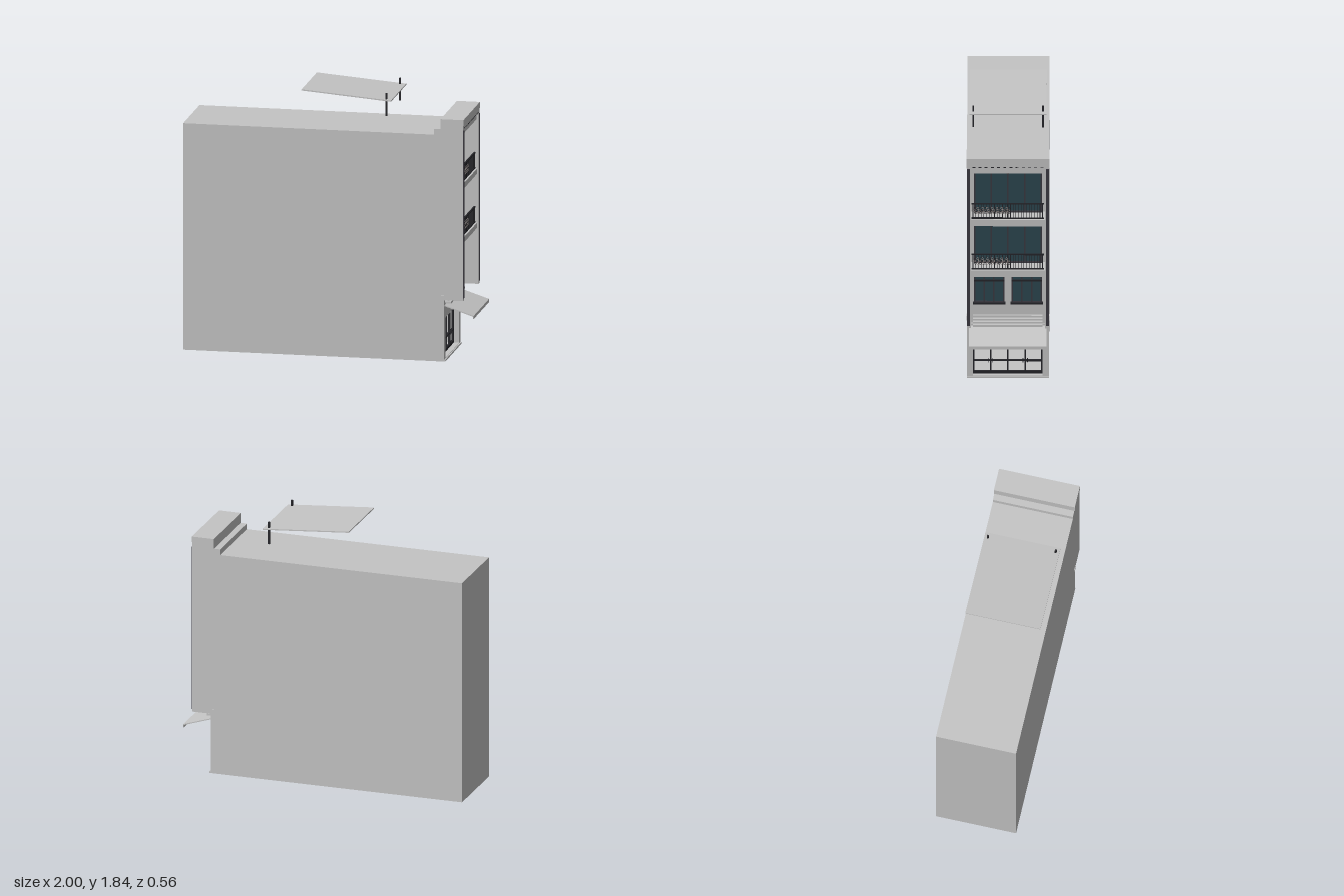
import * as THREE from 'three';

export function createModel() {
  const root = new THREE.Group();
  root.name = 'townhouse';
  const mat = (name, color) => {
    const m = new THREE.MeshStandardMaterial({ color });
    m.name = name;
    return m;
  };
  const wall = mat('plaster grey', 0xc4c4c4);
  const dark = mat('dark metal', 0x242428);
  const strip = mat('charcoal cladding', 0x3a3840);
  const glass = mat('teal glass', 0x2b464f);
  const bloom = mat('pale ornament', 0xa89c98);

  const add = (name, geo, material, parent = root) => {
    const mesh = new THREE.Mesh(geo, material);
    mesh.name = name;
    parent.add(mesh);
    return mesh;
  };
  // Box given by its minimum and maximum on each axis
  const box = (name, material, x0, x1, y0, y1, z0, z1, parent = root) => {
    const m = add(name, new THREE.BoxGeometry(x1 - x0, y1 - y0, z1 - z0), material, parent);
    m.position.set((x0 + x1) / 2, (y0 + y1) / 2, (z0 + z1) / 2);
    return m;
  };
  // Solid cut from an x-y outline, running from z0 to z1
  const slabXY = (name, material, pts, z0, z1) => {
    const shape = new THREE.Shape(pts.map(p => new THREE.Vector2(p[0], p[1])));
    const geo = new THREE.ExtrudeGeometry(shape, { depth: z1 - z0, bevelEnabled: false });
    return add(name, geo.translate(0, 0, z0), material);
  };

  // Party walls, overhanging the street above the ground floor
  const outline = [[-1, 0], [0.8, 0], [0.8, 0.425], [0.93, 0.425], [0.93, 1.61],
    [0.73, 1.61], [0.73, 1.57], [-1, 1.57]];
  slabXY('leftWall', wall, outline, -0.277, -0.25);
  slabXY('rightWall', wall, outline, 0.25, 0.277);

  // Main volume between the party walls, with an open shop room at street level
  const back = 0.785;
  box('upperFloors', wall, -1, back, 0.4, 1.57, -0.25, 0.25);
  box('groundFloorRear', wall, -1, 0.35, 0, 0.4, -0.25, 0.25);
  box('shopFloor', wall, 0.35, 0.8, 0, 0.015, -0.25, 0.25);
  box('shopLintel', wall, 0.35, 0.8, 0.295, 0.4, -0.25, 0.25);
  box('doorStep', wall, 0.8, 0.808, 0, 0.012, -0.277, 0.277);
  for (const s of [-1, 1]) {
    const z = s * 0.2425;
    box('doorJamb', wall, 0.35, 0.8, 0.015, 0.295, z - 0.0075, z + 0.0075);
    const e = s * 0.267;
    box('edgeCladding', strip, 0.93, 0.935, 0.445, 1.605, e - 0.01, e + 0.01);
    box('wallLedge', wall, 0.77, 0.805, 0.425, 0.46, s * 0.2665 - 0.0145, s * 0.2665 + 0.0145);
  }

  // Roof parapet and overhanging ceiling
  box('topCeiling', wall, 0.73, 0.915, 1.565, 1.61, -0.25, 0.25);
  box('parapet', wall, 0.775, 0.93, 1.61, 1.68, -0.28, 0.28);
  box('parapetBand', wall, 0.93, 0.933, 1.64, 1.68, -0.28, 0.28);
  for (let i = 0; i < 12; i++) {
    const z = -0.23 + i * 0.0418;
    box('ventSlot', dark, 0.93, 0.933, 1.614, 1.619, z - 0.01, z + 0.01);
  }

  // Stepped mouldings above the shop
  for (let i = 0; i < 4; i++) {
    box('shopMoulding', wall, back - 0.01, 0.84 - i * 0.012, 0.395 + i * 0.018, 0.407 + i * 0.018, -0.235, 0.235);
  }

  // Window: glass pane, outer frame, mullions and an optional transom
  const windowUnit = (name, y0, y1, z0, z1, panes, transom) => {
    const g = new THREE.Group();
    g.name = name;
    root.add(g);
    const x = back;
    const t = 0.005;
    box('pane', glass, x, x + 0.004, y0, y1, z0, z1, g);
    for (let i = 0; i <= panes; i++) {
      const z = THREE.MathUtils.lerp(z0 + t, z1 - t, i / panes);
      box('mullion', strip, x, x + 0.014, y0, y1, z - t, z + t, g);
    }
    for (const y of [y0 + t, y1 - t]) box('frameRail', strip, x, x + 0.014, y - t, y + t, z0, z1, g);
    if (transom) box('transom', dark, x, x + 0.016, transom - 0.005, transom + 0.005, z0, z1, g);
  };
  windowUnit('topFloorDoors', 1.225, 1.535, -0.23, 0.23, 4);
  windowUnit('thirdFloorDoors', 0.85, 1.158, -0.23, 0.23, 4);
  for (const s of [-1, 1]) {
    const c = s * 0.127;
    windowUnit('secondFloorWindow', 0.555, 0.765, c - 0.103, c + 0.103, 3, 0.718);
    box('windowSill', dark, back, 0.81, 0.548, 0.558, c - 0.11, c + 0.11);
  }
  box('windowCanopy', wall, back, 0.86, 0.775, 0.795, -0.245, 0.245);

  // Balconies with slab, bar railing, scroll ornament and ceiling lamp
  const ring = new THREE.TorusGeometry(0.008, 0.0018, 4, 8).rotateY(Math.PI / 2);
  const balcony = (floor) => {
    const g = new THREE.Group();
    g.name = 'balcony';
    root.add(g);
    box('slab', wall, back, 0.92, floor - 0.035, floor, -0.25, 0.25, g);
    box('slabTrim', wall, back, 0.905, floor - 0.055, floor - 0.035, -0.25, 0.25, g);
    const x = 0.905;
    box('topRail', dark, x - 0.006, x + 0.006, floor + 0.108, floor + 0.116, -0.245, 0.245, g);
    box('bottomRail', dark, x - 0.004, x + 0.004, floor + 0.002, floor + 0.01, -0.245, 0.245, g);
    for (let i = 0; i <= 26; i++) {
      const z = -0.235 + (i * 0.47) / 26;
      const t = i % 13 ? 0.002 : 0.004;
      box('bar', dark, x - t, x + t, floor + 0.008, floor + 0.11, z - t, z + t, g);
    }
    for (let row = 0; row < 3; row++) {
      for (let i = 0; i < 15; i++) {
        const m = add('scroll', ring, (i + row) % 2 ? bloom : dark, g);
        m.position.set(x + 0.004, floor + 0.048 + row * 0.016, -0.008 + i * 0.0162 + (row % 2) * 0.006);
      }
    }
    const lamp = add('ceilingLamp', new THREE.CylinderGeometry(0.01, 0.01, 0.006, 16), dark, g);
    lamp.position.set(0.85, floor + 0.315, 0);
  };
  balcony(0.85);
  balcony(1.225);

  // Glazed shop doors
  const doors = new THREE.Group();
  doors.name = 'shopDoors';
  root.add(doors);
  const dx = 0.755;
  for (const z of [-0.23, -0.117, 0, 0.117, 0.23]) {
    box('doorStile', dark, dx - 0.008, dx + 0.008, 0.015, 0.295, z - 0.005, z + 0.005, doors);
  }
  for (const [y, h] of [[0.024, 0.009], [0.11, 0.005], [0.291, 0.004]]) {
    box('doorRail', dark, dx - 0.008, dx + 0.008, y - h, y + h, -0.235, 0.235, doors);
  }
  for (const z of [-0.132, -0.102, 0.102, 0.132]) {
    box('doorHandle', dark, dx + 0.01, dx + 0.016, 0.1, 0.13, z - 0.002, z + 0.002, doors);
  }

  // Sloping street awning with a front lip
  slabXY('awning', wall, [[0.8, 0.38], [0.995, 0.316], [0.995, 0.3], [1, 0.3], [1, 0.322], [0.8, 0.387]], -0.262, 0.262);

  // Sloping roof canopy on two posts
  slabXY('roofCanopy', wall, [[-0.185, 1.83], [0.43, 1.78], [0.43, 1.788], [-0.185, 1.838]], -0.26, 0.26);
  for (const z of [-0.235, 0.235]) {
    box('canopyPost', dark, 0.387, 0.399, 1.675, 1.832, z - 0.006, z + 0.006);
  }

  return root;
}
